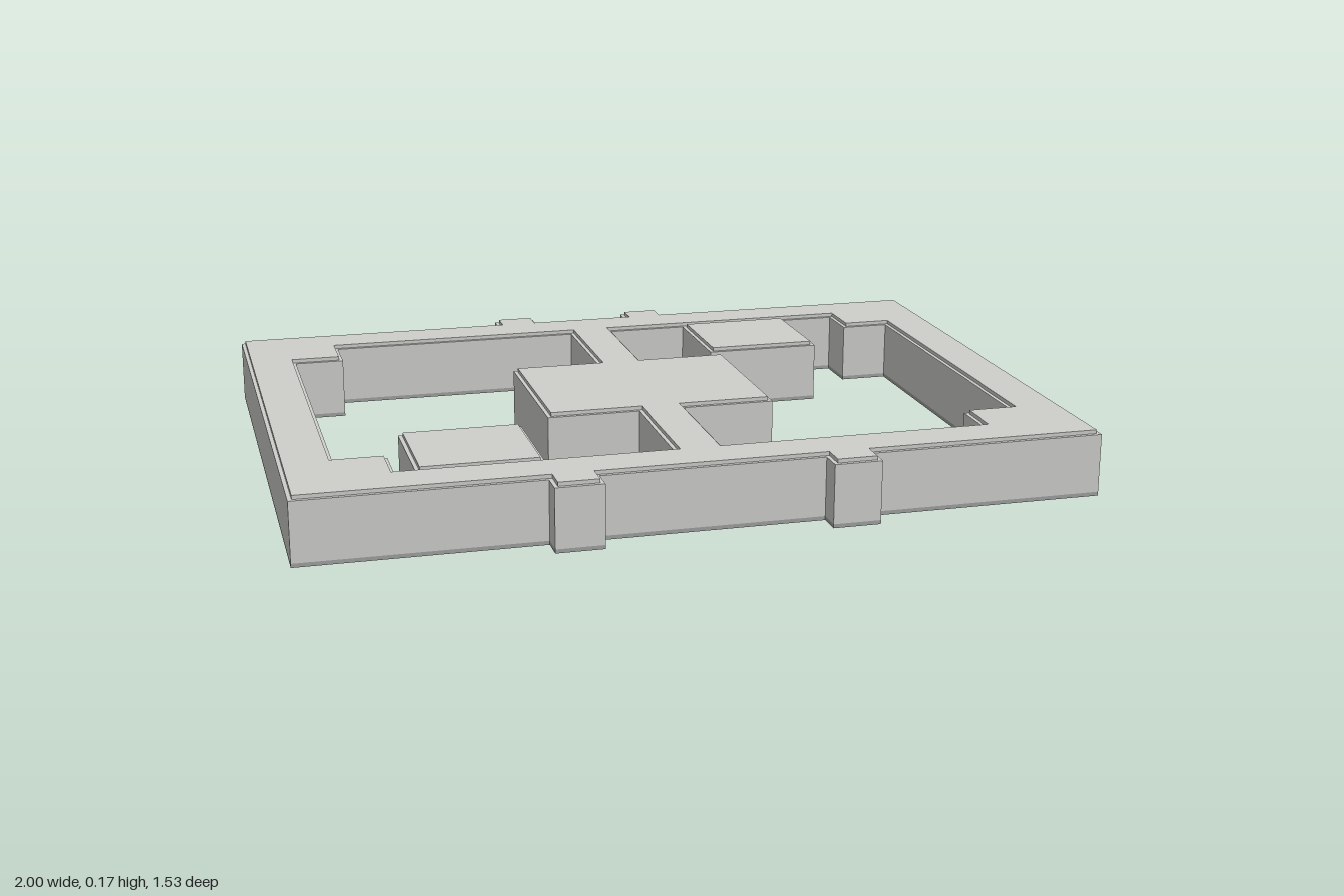
import * as THREE from 'three';

const INSET = 0.01;

// Shape coordinates are (x, -z), reversed to run counter-clockwise.
const toPoints = (list) => list.map(([x, z]) => new THREE.Vector2(x, -z)).reverse();

// Straight extrusion of a plan from y0 to y1, drawn in from its outline by inset
function layer(name, outline, holes, y0, y1, inset, material) {
  const shape = new THREE.Shape(toPoints(outline));
  shape.holes = holes.map((h) => new THREE.Path(toPoints(h)));
  const geometry = new THREE.ExtrudeGeometry(shape, {
    depth: y1 - y0,
    bevelEnabled: true,
    bevelThickness: 0,
    bevelSize: 0,
    bevelOffset: -inset,
    bevelSegments: 0,
  });
  geometry.rotateX(-Math.PI / 2);
  geometry.translate(0, y0, 0);
  const mesh = new THREE.Mesh(geometry, material);
  mesh.name = name;
  return mesh;
}

// Rectangular plan
const rect = (x0, x1, z0, z1) => [[x0, z0], [x1, z0], [x1, z1], [x0, z1]];

// Tab sticking out of an edge at z, out to zOut
const tab = (x0, x1, z, zOut) => [[x0, z], [x0, zOut], [x1, zOut], [x1, z]];

export function createModel() {
  const model = new THREE.Group();
  model.name = 'floorPlanFrame';

  const stone = new THREE.MeshStandardMaterial({ color: 0xcfcfcc });
  stone.name = 'light grey';
  const underside = new THREE.MeshStandardMaterial({ color: 0x9ea29f });
  underside.name = 'dark grey';

  // Each part is a thin base plate, a tall body and a slightly smaller cap.
  function addPart(name, outline, holes) {
    const part = new THREE.Group();
    part.name = name;
    part.add(
      layer(`${name}Base`, outline, holes, 0, 0.01, 0, underside),
      layer(`${name}Body`, outline, holes, 0.01, 0.16, 0, stone),
      layer(`${name}Cap`, outline, holes, 0.16, 0.17, INSET, stone),
    );
    model.add(part);
  }

  // Outer wall with two tabs on the front and two on the back
  const outline = [
    [-1, -0.705],
    ...tab(-0.25, -0.135, -0.705, -0.765),
    ...tab(0.135, 0.25, -0.705, -0.765),
    [1, -0.705],
    [1, 0.705],
    ...tab(0.4, 0.28, 0.705, 0.765),
    ...tab(-0.28, -0.4, 0.705, 0.765),
    [-1, 0.705],
  ];

  // Opening on one side of the crossbar and its central block
  const half = [
    [0.06, 0.575], [0.74, 0.575], [0.74, 0.45], [0.87, 0.45],
  ];
  const rightHalf = [
    ...half,
    ...[...half].reverse().map(([x, z]) => [x, -z]),
    [0.06, -0.225], [0.3, -0.225], [0.3, 0.225], [0.06, 0.225],
  ];
  const leftHalf = rightHalf.map(([x, z]) => [-x, z]).reverse();
  addPart('frame', outline, [rightHalf, leftHalf]);

  // Loose blocks standing against the walls inside the openings
  addPart('backBlock', rect(0.28, 0.59, -0.575, -0.28), []);
  addPart('frontBlock', rect(-0.69, -0.38, 0.28, 0.575), []);

  return model;
}
